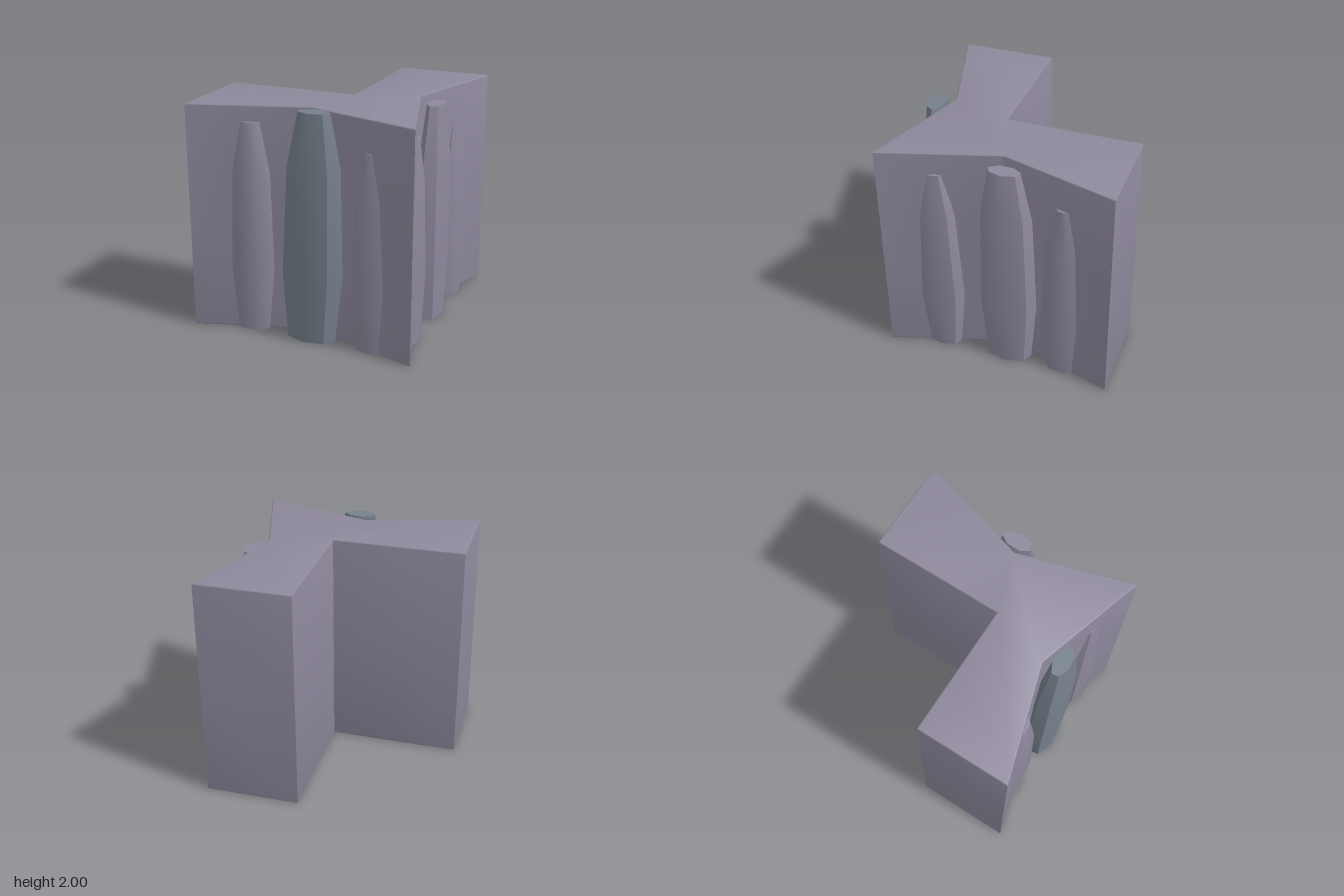
import * as THREE from 'three';
import { toCreasedNormals } from 'three/addons/utils/BufferGeometryUtils.js';

const wallMaterial = new THREE.MeshStandardMaterial({ color: 0x8e889c });
const accentMaterial = new THREE.MeshStandardMaterial({ color: 0x75808c });

// L-shaped block with notched outer faces; outline given as [x, z]
function createWall() {
  const outline = [
    [-1, 1], [0, 0.7], [1, 1], [0.7, 0], [1, -1],
    [0.165, -1], [0.165, -0.46], [0.165, 0.165], [-0.46, 0.165], [-1, 0.165],
  ];
  const bevel = 0.012;
  const shape = new THREE.Shape(outline.map(([x, z]) => new THREE.Vector2(x, -z)));
  const geometry = new THREE.ExtrudeGeometry(shape, {
    depth: 2 - 2 * bevel, steps: 2, bevelEnabled: true,
    bevelThickness: bevel, bevelSize: bevel, bevelOffset: -bevel, bevelSegments: 3,
  });
  geometry.rotateX(-Math.PI / 2).translate(0, bevel, 0);

  // Push the middle of each inner wall slightly outwards
  const p = geometry.attributes.position;
  for (let i = 0; i < p.count; i++) {
    if (Math.abs(p.getY(i) - 1) > 0.1) continue;
    if (Math.abs(p.getZ(i) + 0.46) < 0.02) p.setX(i, 0.12);
    if (Math.abs(p.getX(i) + 0.46) < 0.02) p.setZ(i, 0.13);
  }
  const mesh = new THREE.Mesh(toCreasedNormals(geometry, 0.6), wallMaterial);
  mesh.name = 'cornerWall';
  return mesh;
}

// Seven-sided, flattened pillar that bulges low down and tapers to a flat top
function createPillar({ name, x, z, height, radii, phase, lean = 0, material = wallMaterial }) {
  const [base, belly, shoulder, top] = radii;
  const profile = [
    [0, 0], [base, 0], [belly, height * 0.3], [shoulder, height * 0.77], [top, height], [0, height],
  ].map(([r, y]) => new THREE.Vector2(r, y));
  const start = Math.PI / 2 - THREE.MathUtils.degToRad(phase);
  const geometry = new THREE.LatheGeometry(profile, 7, start);
  geometry.scale(1, 1, 0.52);
  const p = geometry.attributes.position;
  for (let i = 0; i < p.count; i++) {
    p.setX(i, p.getX(i) + lean * p.getY(i) / height);
  }
  const mesh = new THREE.Mesh(toCreasedNormals(geometry, 0.75), material);
  mesh.position.set(x, 0, z);
  mesh.name = name;
  return mesh;
}

export function createModel() {
  const model = new THREE.Group();
  model.name = 'pillaredCorner';
  model.add(createWall());

  // Pillars along the front face
  const front = new THREE.Group();
  front.name = 'frontPillars';
  front.add(
    createPillar({ name: 'frontRightPillar', x: -0.53, z: 0.825, height: 1.86,
      radii: [0.17, 0.225, 0.195, 0.105], phase: 0, lean: 0.02 }),
    createPillar({ name: 'frontMiddlePillar', x: 0.045, z: 0.835, height: 2,
      radii: [0.22, 0.275, 0.24, 0.145], phase: -4, lean: 0.045, material: accentMaterial }),
    createPillar({ name: 'frontLeftPillar', x: 0.6, z: 0.845, height: 1.72,
      radii: [0.155, 0.2, 0.155, 0.08], phase: -10 }),
  );

  // Pillars along the side face, built facing +z and turned to face +x
  const side = new THREE.Group();
  side.name = 'sidePillars';
  side.add(
    createPillar({ name: 'sideFrontPillar', x: -0.55, z: 0.84, height: 1.8,
      radii: [0.16, 0.215, 0.175, 0.09], phase: -10, lean: -0.02 }),
    createPillar({ name: 'sideMiddlePillar', x: 0.06, z: 0.825, height: 1.94,
      radii: [0.21, 0.26, 0.23, 0.14], phase: -13, lean: -0.015 }),
    createPillar({ name: 'sideBackPillar', x: 0.57, z: 0.845, height: 1.7,
      radii: [0.16, 0.2, 0.17, 0.085], phase: 25.7 }),
  );
  side.rotation.y = Math.PI / 2;

  model.add(front, side);
  return model;
}
